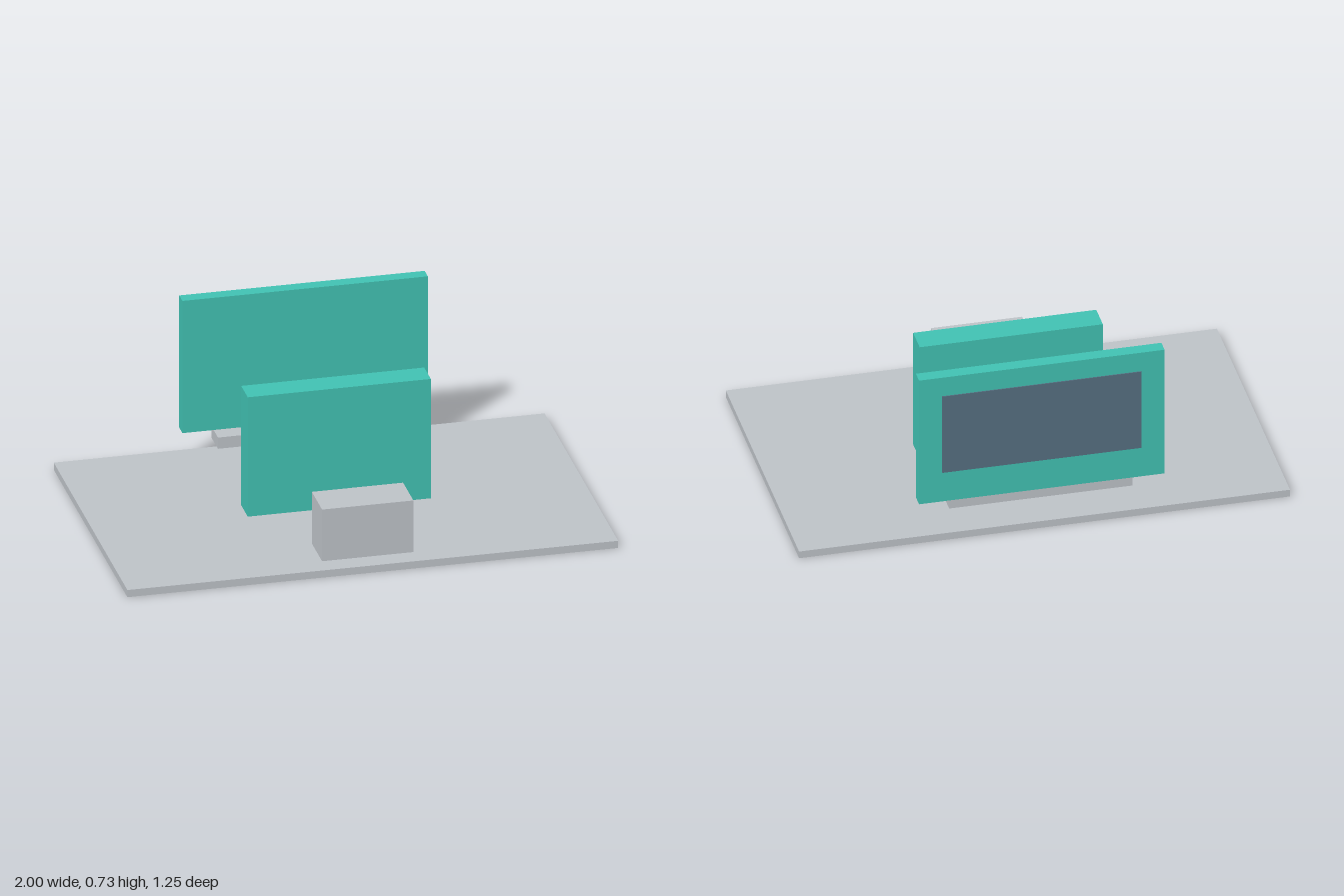
import * as THREE from 'three';

const material = (name, color) => {
  const m = new THREE.MeshStandardMaterial({ color });
  m.name = name;
  return m;
};

export function createModel() {
  const grey = material('light grey', 0xbdc2c7);
  const teal = material('teal', 0x41c1b2);
  const slate = material('slate', 0x566f81);
  const model = new THREE.Group();

  // Box centred on x, given by its half width and its y and z ranges
  const box = (name, mat, halfX, [y0, y1], [z0, z1]) => {
    const mesh = new THREE.Mesh(new THREE.BoxGeometry(2 * halfX, y1 - y0, z1 - z0), mat);
    mesh.position.set(0, (y0 + y1) / 2, (z0 + z1) / 2);
    mesh.name = name;
    model.add(mesh);
  };

  // Floor slab with the two blocks standing on it
  box('basePlate', grey, 1, [0, 0.031], [-0.623, 0.623]);
  box('frontBlock', grey, 0.186, [0.031, 0.256], [0.363, 0.537]);
  box('middlePanel', teal, 0.373, [0.002, 0.551], [-0.056, 0.056]);

  // Raised rear panel with its ledge and dark inset on the back
  box('rearLedge', grey, 0.373, [0.102, 0.151], [-0.558, -0.448]);
  box('rearPanel', teal, 0.5, [0.151, 0.727], [-0.576, -0.522]);
  box('rearScreen', slate, 0.406, [0.286, 0.641], [-0.58, -0.575]);

  return model;
}
